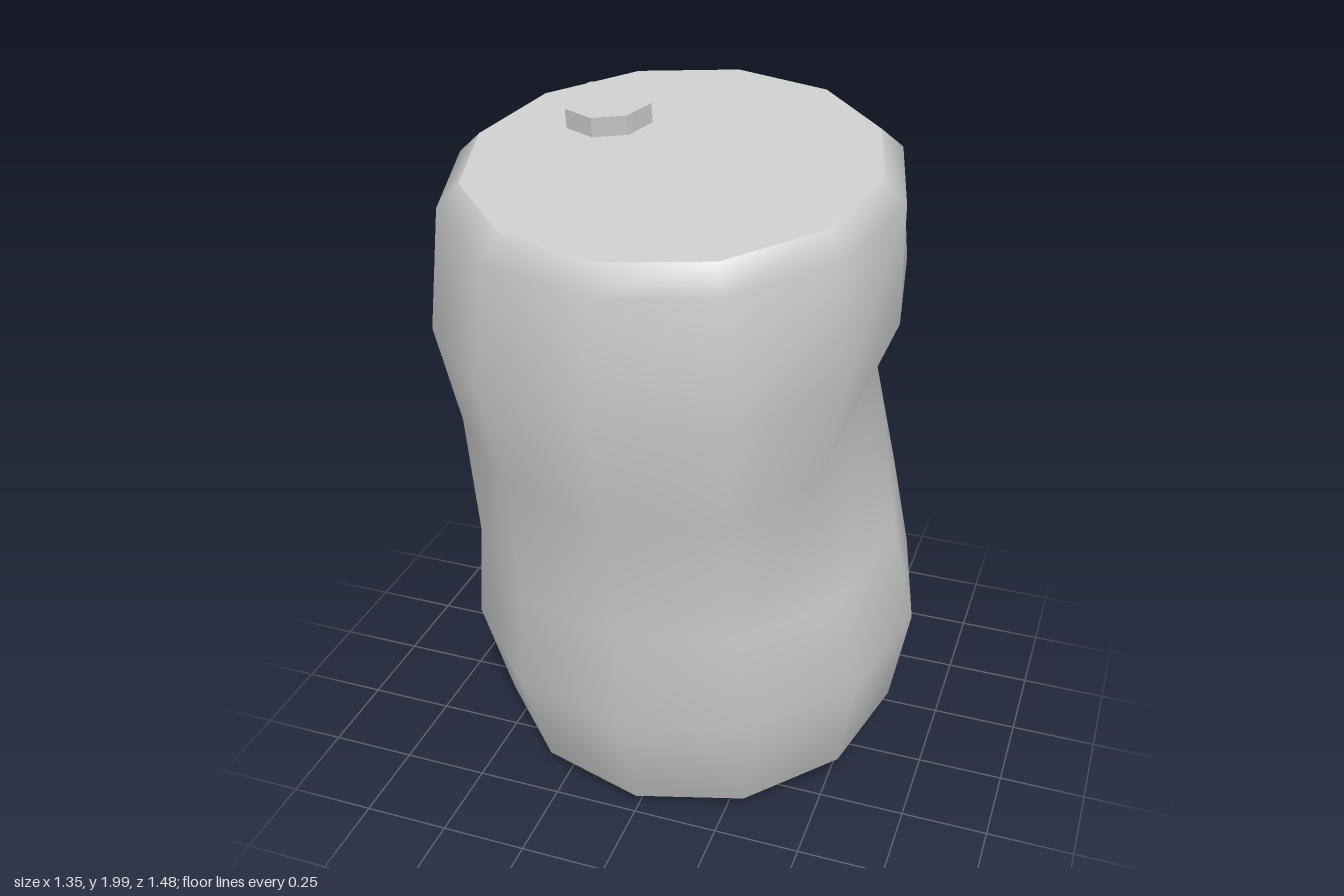
import * as THREE from 'three';

export function createModel() {
  const metal = new THREE.MeshStandardMaterial({ color: 0xcccccc });
  metal.name = 'grey metal';

  const model = new THREE.Group();
  model.name = 'crushedCan';

  // Everything is built upright around the origin, then leaned forward
  const can = new THREE.Group();
  can.name = 'leaningCan';
  can.position.y = 0.995;
  can.rotation.x = THREE.MathUtils.degToRad(8);
  model.add(can);

  const add = (name, geometry) => {
    const mesh = new THREE.Mesh(geometry, metal);
    mesh.name = name;
    can.add(mesh);
    return mesh;
  };

  // Wall rings: height, radius, depth of the dent on the +x side
  const rings = [
    [-0.92, 0.55, 0], [-0.86, 0.615, 0], [-0.515, 0.676, 0], [-0.2, 0.636, 0.02],
    [0.2, 0.636, 0.156], [0.51, 0.676, 0.074], [0.86, 0.615, 0.008], [0.92, 0.55, 0],
  ];
  const sides = 12;
  const dentWeight = [1, 0.54, 0.1]; // fades with steps away from +x
  const positions = [], indices = [];
  rings.forEach(([y, r, dent], k) => {
    for (let i = 0; i < sides; i++) {
      const a = (i / sides) * Math.PI * 2;
      const x = r * Math.sin(a) - dent * (dentWeight[Math.abs(i - 3)] || 0);
      positions.push(x, y, r * Math.cos(a));
      if (k === rings.length - 1) continue;
      const j = (i + 1) % sides, low = k * sides, high = low + sides;
      indices.push(low + i, low + j, high + j, low + i, high + j, high + i);
    }
  });
  const wall = new THREE.BufferGeometry();
  wall.setAttribute('position', new THREE.Float32BufferAttribute(positions, 3));
  wall.setIndex(indices);
  wall.computeVertexNormals();
  add('wall', wall);

  // Flat lid and base
  for (const [name, s] of [['lid', 1], ['base', -1]]) {
    const disc = add(name, new THREE.CircleGeometry(0.55, sides));
    disc.rotation.x = -s * Math.PI / 2;
    disc.position.y = s * 0.92;
  }

  // Small octagonal cap on the lid
  const cap = new THREE.CylinderGeometry(0.124, 0.124, 0.06, 8).toNonIndexed();
  cap.computeVertexNormals();
  add('cap', cap).position.set(-0.245, 0.945, -0.172);

  return model;
}
